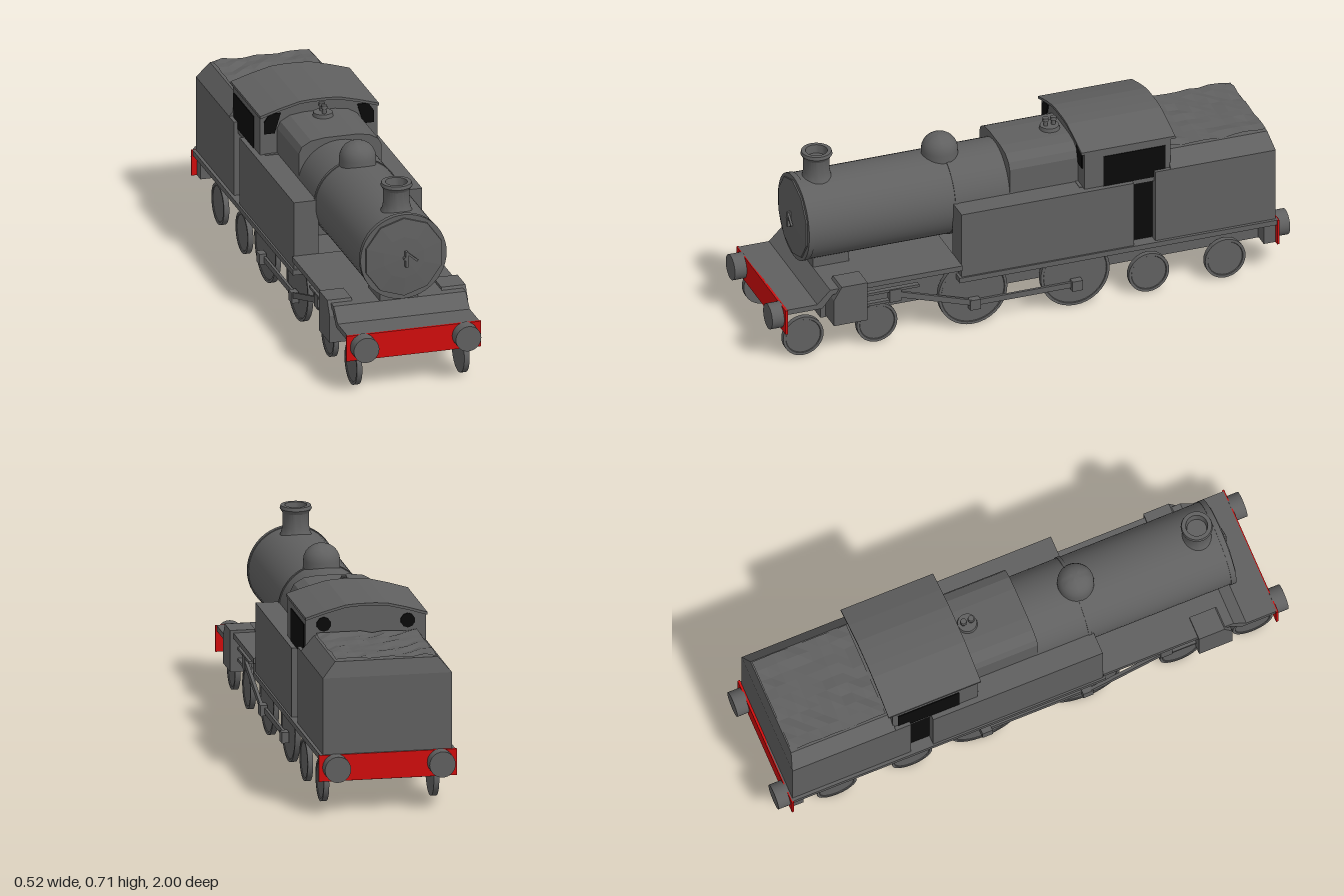
import * as THREE from 'three';
import { toCreasedNormals } from 'three/addons/utils/BufferGeometryUtils.js';

export function createModel() {
  const root = new THREE.Group();
  root.name = 'tankLocomotive';
  const mat = (name, color) => {
    const m = new THREE.MeshStandardMaterial({ color });
    m.name = name;
    return m;
  };
  const grey = mat('bodyGrey', 0x606060);
  const black = mat('openingBlack', 0x0a0a0a);
  const red = mat('beamRed', 0xd00c0c);
  grey.side = THREE.DoubleSide;

  const add = (name, geo, m = grey) => {
    const mesh = new THREE.Mesh(geo, m);
    mesh.name = name;
    root.add(mesh);
    return mesh;
  };
  // Box given by its limits on each axis
  const box = (name, x0, x1, y0, y1, z0, z1, m) => {
    const g = new THREE.BoxGeometry(Math.abs(x1 - x0), y1 - y0, Math.abs(z1 - z0));
    return add(name, g.translate((x0 + x1) / 2, (y0 + y1) / 2, (z0 + z1) / 2), m);
  };
  const poly = (pts) => new THREE.Shape(pts.map(([a, b]) => new THREE.Vector2(a, b)));
  // Cross-section in x, y pushed along z
  const alongZ = (name, pts, z0, z1, m) => add(name,
    new THREE.ExtrudeGeometry(poly(pts), { depth: z1 - z0, bevelEnabled: false }).translate(0, 0, z0), m);
  // Side profile in z, y pushed across x
  const acrossX = (name, pts, x0, x1) => add(name,
    new THREE.ExtrudeGeometry(poly(pts), { depth: x1 - x0, bevelEnabled: false })
      .rotateY(-Math.PI / 2).translate(x1, 0, 0));
  // Turned part about the vertical axis, smooth with sharp edges
  const turned = (pts, seg = 32) => toCreasedNormals(
    new THREE.LatheGeometry(pts.map(([r, y]) => new THREE.Vector2(r, y)), seg), 0.6);
  const mirrorX = (pts) => [...pts, ...pts.slice().reverse().map(([x, y]) => [-x, y])];

  // Frame, footplates and stepped front running board
  box('innerFrame', -0.175, 0.175, 0.118, 0.25, -0.94, 0.79);
  box('rearFootplate', -0.25, 0.25, 0.2, 0.22, -0.95, 0.28);
  acrossX('frontRunningBoard', [[0.95, 0.2], [0.95, 0.22], [0.83, 0.22], [0.78, 0.27],
    [0.27, 0.27], [0.27, 0.25], [0.77, 0.25], [0.81, 0.2]], -0.25, 0.25);
  box('rearFrameValance', -0.235, 0.235, 0.122, 0.2, -0.945, -0.9);

  // Red end beams and round bumpers
  for (const s of [1, -1]) {
    box('endBeam', -0.255, 0.255, 0.122, 0.22, s * 0.945, s * 0.954, red);
    for (const x of [-0.193, 0.193]) {
      add('bumper', new THREE.CylinderGeometry(0.048, 0.048, 0.05, 32)
        .rotateX(Math.PI / 2).translate(x, 0.175, s * 0.975));
    }
  }

  // Boiler, smokebox rim and saddle
  const disc = (name, r, z0, z1, seg = 48) => add(name,
    new THREE.CylinderGeometry(r, r, z1 - z0, seg).rotateX(Math.PI / 2)
      .translate(0, 0.453, (z0 + z1) / 2));
  disc('boiler', 0.16, 0.04, 0.82);
  disc('boilerBand', 0.163, 0.25, 0.262);
  disc('smokeboxRim', 0.163, 0.808, 0.828);
  box('smokeboxSaddle', -0.075, 0.07, 0.26, 0.31, 0.64, 0.78);

  // Domed ten-sided smokebox door with handle
  const doorGeo = new THREE.LatheGeometry(
    [[0.152, 0], [0.15, 0.008], [0.08, 0.014], [0, 0.017]].map(([r, y]) => new THREE.Vector2(r, y)), 10)
    .toNonIndexed().rotateX(Math.PI / 2).translate(0, 0.453, 0.825);
  doorGeo.computeVertexNormals();
  add('smokeboxDoor', doorGeo);
  box('doorHandle', 0, 0.009, 0.42, 0.48, 0.84, 0.856);
  const lever = box('doorLever', -0.025, 0.025, -0.004, 0.004, -0.004, 0.004);
  lever.position.set(0.026, 0.458, 0.852);
  lever.rotation.z = -0.7;
  disc('handlePivot', 0.007, 0.835, 0.856, 12);

  // Chimney and steam dome
  add('chimney', turned([[0.066, 0.585], [0.053, 0.612], [0.048, 0.635], [0.048, 0.685],
    [0.058, 0.7], [0.055, 0.712], [0.04, 0.712], [0.036, 0.68], [0, 0.68]]).translate(0, 0, 0.74));
  const domePts = [[0.068, 0.56], [0.067, 0.628]];
  for (let i = 1; i <= 6; i++) {
    const a = i * Math.PI / 12;
    domePts.push([0.067 * Math.cos(a), 0.628 + 0.062 * Math.sin(a)]);
  }
  add('steamDome', turned(domePts).translate(0, 0, 0.265));

  // Firebox with rounded shoulders, and safety valves
  alongZ('firebox', mirrorX([[0.157, 0.22], [0.157, 0.575], [0.145, 0.6], [0.11, 0.62], [0.06, 0.627]]),
    -0.22, 0.052);
  add('valveBase', new THREE.CylinderGeometry(0.035, 0.038, 0.016, 20).translate(0, 0.633, -0.16));
  for (const z of [-0.145, -0.175]) {
    add('safetyValve', turned([[0.008, 0.635], [0.008, 0.658], [0.013, 0.66], [0.011, 0.672], [0, 0.674]], 12)
      .translate(0, 0, z));
  }

  // Cab body, arched roof and interior wall behind the doorways
  const arch = [[0.225, 0.632], [0.15, 0.655], [0.075, 0.674], [0.03, 0.677]];
  alongZ('cab', mirrorX([[0.222, 0.46], ...arch.map(([x, y]) => [Math.min(x, 0.222), y - 0.008])]), -0.545, -0.212);
  alongZ('cabRoof', [...mirrorX(arch),
    ...mirrorX(arch.map(([x, y]) => [x, y - 0.01])).reverse()], -0.562, -0.2);
  box('cabLowerBody', -0.205, 0.205, 0.22, 0.48, -0.5, -0.2);

  const wheels = [[0.87, 0.078], [0.585, 0.078], [0.215, 0.133], [-0.18, 0.133], [-0.465, 0.078], [-0.76, 0.078]];
  for (const s of [1, -1]) {
    // Side tank, side windows and doorway
    box('sideTank', s * 0.15, s * 0.243, 0.22, 0.478, -0.395, 0.27);
    box('cabSideOpening', s * 0.218, s * 0.225, 0.478, 0.6, -0.525, -0.285, black);
    box('cabDoorway', s * 0.2, s * 0.208, 0.222, 0.48, -0.485, -0.39, black);

    // Cab spectacle windows, front and back
    const win = [[0.145, 0.634], [0.187, 0.634], [0.208, 0.603], [0.208, 0.558], [0.168, 0.558]];
    alongZ('cabFrontWindow', win.map(([x, y]) => [s * x, y]), -0.215, -0.207, black);
    add('cabRearWindow', new THREE.CylinderGeometry(0.027, 0.027, 0.008, 10)
      .rotateX(Math.PI / 2).translate(s * 0.155, 0.602, -0.546), black);

    // Wheels with a raised rim
    for (const [z, r] of wheels) {
      const g = turned([[0, -0.01], [r, -0.01], [r, 0.01], [r - 0.01, 0.01], [r - 0.012, 0.007], [0, 0.007]], 36);
      add('wheel', g.rotateZ(-s * Math.PI / 2).translate(s * 0.203, r, z));
    }

    // Cylinder block, slide bars and rods
    acrossX('cylinderBlock', [[0.77, 0.125], [0.77, 0.23], [0.74, 0.28], [0.64, 0.28], [0.64, 0.125]],
      Math.min(s * 0.17, s * 0.262), Math.max(s * 0.17, s * 0.262));
    box('upperSlideBar', s * 0.215, s * 0.235, 0.207, 0.217, 0.43, 0.65);
    box('lowerSlideBar', s * 0.215, s * 0.235, 0.165, 0.175, 0.5, 0.65);
    box('crosshead', s * 0.212, s * 0.238, 0.165, 0.215, 0.5, 0.545);
    const rod = box('connectingRod', -0.006, 0.006, -0.011, 0.011, -0.165, 0.165);
    rod.position.set(s * 0.23, 0.145, 0.365);
    rod.rotation.x = -0.31;
    box('couplingRod', s * 0.214, s * 0.224, 0.08, 0.102, -0.2, 0.235);
    for (const z of [0.215, -0.18]) {
      box('crankPin', s * 0.213, s * 0.24, 0.072, 0.112, z - 0.02, z + 0.02);
    }
  }

  // Bunker with its inward-sloping upper part
  box('bunker', -0.238, 0.238, 0.22, 0.505, -0.945, -0.48);
  const top = new THREE.BoxGeometry(2, 1, 2);
  const p = top.attributes.position;
  for (let i = 0; i < p.count; i++) {
    const high = p.getY(i) > 0;
    p.setXYZ(i, p.getX(i) * (high ? 0.19 : 0.238), high ? 0.562 : 0.505,
      p.getZ(i) > 0 ? -0.54 : (high ? -0.93 : -0.945));
  }
  top.computeVertexNormals();
  add('bunkerTop', top);

  // Lumpy coal load
  let seed = 7;
  const rnd = () => (seed = (seed * 16807) % 2147483647) / 2147483647;
  const coal = new THREE.PlaneGeometry(0.37, 0.37, 9, 9).rotateX(-Math.PI / 2);
  const c = coal.attributes.position;
  for (let i = 0; i < c.count; i++) c.setY(i, 0.563 + rnd() * 0.012);
  const lumps = coal.toNonIndexed().translate(0, 0, -0.742);
  lumps.computeVertexNormals();
  add('coal', lumps);

  return root;
}
